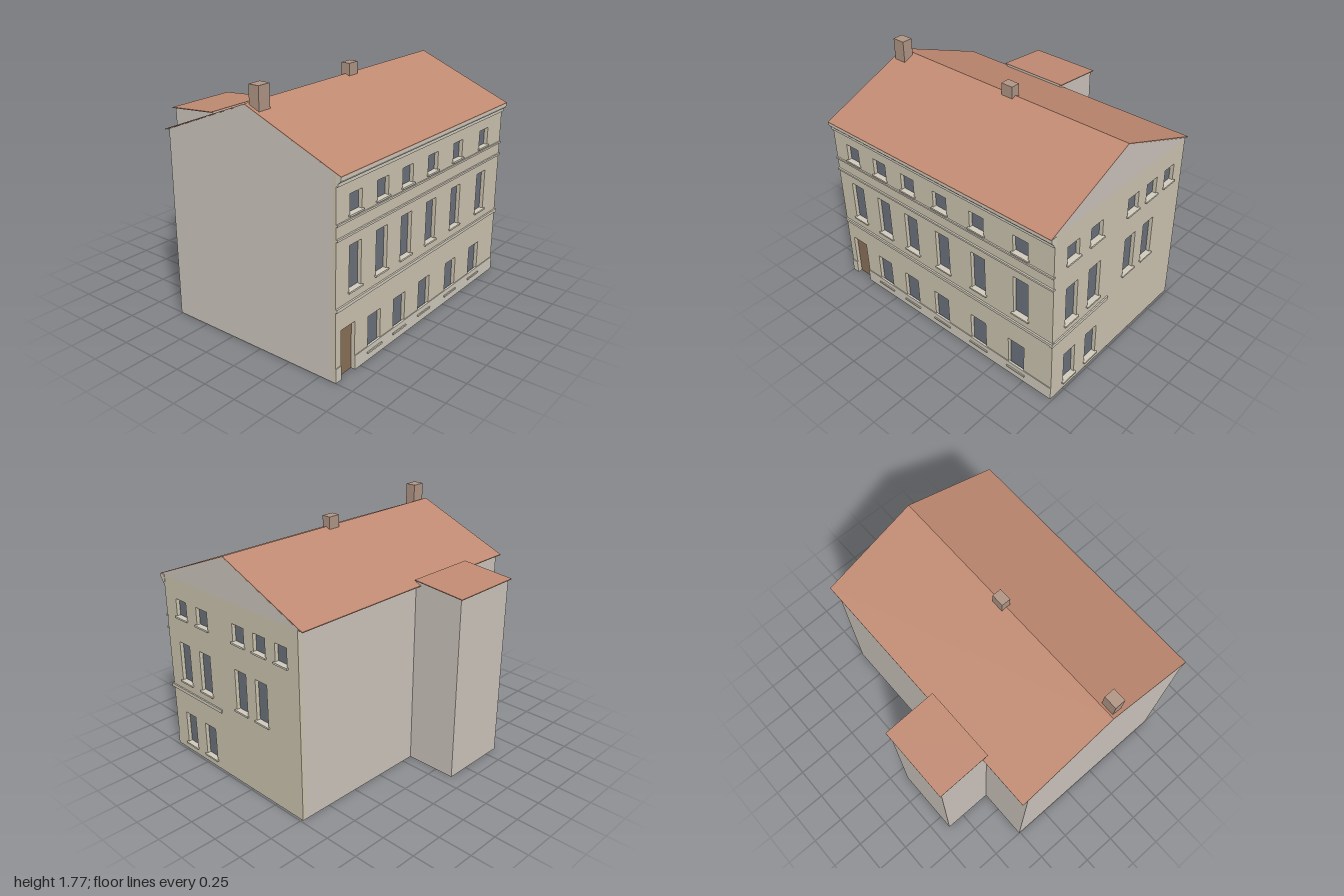
import * as THREE from 'three';

const mat = (color) => new THREE.MeshStandardMaterial({ color, flatShading: true });

export function createModel() {
  const house = new THREE.Group();
  house.name = 'townhouse';
  const wallMat = mat(0xccc4b0), plainMat = mat(0xcbc3bb), trimMat = mat(0xd0cabc);
  const roofMat = mat(0xc08a72), chimneyMat = mat(0xb09585);
  const glassMat = mat(0x6b717b), doorMat = mat(0x8a7058);

  const add = (name, geometry, material) => {
    const mesh = new THREE.Mesh(geometry, material);
    mesh.name = name;
    house.add(mesh);
    return mesh;
  };
  // Box given by its minimum and maximum corners
  const box = (name, x0, x1, y0, y1, z0, z1, material) => {
    const g = new THREE.BoxGeometry(x1 - x0, y1 - y0, z1 - z0);
    g.translate((x0 + x1) / 2, (y0 + y1) / 2, (z0 + z1) / 2);
    return add(name, g, material);
  };
  // Outline with rectangular holes [u0, u1, v0, v1]
  const outline = (points, holes = []) => {
    const shape = new THREE.Shape(points.map(([u, v]) => new THREE.Vector2(u, v)));
    for (const [a, b, c, d] of holes) {
      shape.holes.push(new THREE.Path([[a, c], [a, d], [b, d], [b, c]].map(([u, v]) => new THREE.Vector2(u, v))));
    }
    return shape;
  };
  const extrude = (shape, depth) => new THREE.ExtrudeGeometry(shape, { depth, bevelEnabled: false });
  // Extrude a (z, y) outline along x
  const extrudeX = (name, points, x0, x1, material, holes) => {
    const g = extrude(outline(points, holes), x1 - x0);
    g.rotateY(-Math.PI / 2);
    g.translate(x1, 0, 0);
    return add(name, g, material);
  };

  const L = -1, R = 0.985, F = 0.87, B = -0.51, EAVE = 1.355, IN = 0.03;
  const RIDGE_Z = 0.178, RIDGE_Y = 1.648;

  // Window openings: [start, end] along each wall and [bottom, top]
  const frontUpper = [[-0.87, -0.75], [-0.595, -0.475], [-0.32, -0.2], [-0.02, 0.1], [0.303, 0.423], [0.665, 0.785]];
  const frontGround = [[-0.665, -0.53], [-0.38, -0.245], [-0.075, 0.06], [0.277, 0.415], [0.617, 0.752]];
  const side = [[0.63, 0.745], [0.395, 0.515], [0.01, 0.125], [-0.2, -0.085], [-0.405, -0.295]];
  const floors = [[0.06, 0.313], [0.575, 0.88], [1.075, 1.207]];
  const openings = (spans, [y0, y1]) => spans.map(([a, b]) => [a, b, y0, y1]);
  const frontWindows = [
    ...openings(frontGround, floors[0]), ...openings(frontUpper, floors[1]), ...openings(frontUpper, floors[2]),
  ];
  const sideWindows = [
    ...openings(side.slice(0, 2), floors[0]), ...openings(side.slice(0, 4), floors[1]), ...openings(side, floors[2]),
  ];

  // Core of the building behind the pierced walls
  box('mainBody', L, R - IN, 0, EAVE, B, F - IN, plainMat);

  // Front wall with door notch and windows
  const d0 = -0.945, d1 = -0.805, doorTop = 0.345;
  const frontShape = outline([
    [L, 0], [d0, 0], [d0, doorTop], [d1, doorTop], [d1, 0], [R - IN, 0], [R - IN, EAVE], [L, EAVE],
  ], frontWindows);
  add('frontWall', extrude(frontShape, IN).translate(0, 0, F - IN), wallMat);

  // Right-hand wall with windows
  extrudeX('sideWall', [[B, 0], [F, 0], [F, EAVE], [B, EAVE]], R - IN, R, wallMat, sideWindows);

  // Glass and sills
  const e = 0.003, s = 0.011;
  for (const [a, b, y0, y1] of frontWindows) {
    box('frontGlass', a, b, y0, y1, F - IN - e, F - IN + e, glassMat);
    box('frontSill', a - s, b + s, y0 - 0.008, y0 + 0.004, F - IN, F + 0.014, trimMat);
  }
  for (const [a, b, y0, y1] of sideWindows) {
    box('sideGlass', R - IN - e, R - IN + e, y0, y1, a, b, glassMat);
    box('sideSill', R - IN, 1, y0 - 0.01, y0 + 0.003, a - s, b + s, trimMat);
  }
  box('door', d0, d1, 0, doorTop, F - IN - e, F - IN + e, doorMat);

  // Plinth on both sides of the door
  box('plinth', L, d0, 0, 0.1, F - 0.01, F + 0.006, trimMat);
  box('plinth', d1, R, 0, 0.1, F - 0.01, F + 0.006, trimMat);

  // Horizontal string courses
  for (const [y0, y1, out] of [[0.488, 0.51, 0.012], [0.948, 0.962, 0.012], [1.042, 1.055, 0.01]]) {
    box('stringCourse', L, R + 0.004, y0, y1, F - 0.01, F + out, trimMat);
  }
  box('sideStringCourse', R - 0.01, R + 0.01, 0.482, 0.508, 0.295, F + 0.012, trimMat);

  // Eaves cornice
  extrudeX('cornice', [
    [F - 0.01, 1.288], [F + 0.014, 1.288], [F + 0.014, 1.308], [F + 0.022, 1.312],
    [F + 0.034, 1.33], [F + 0.034, EAVE], [F - 0.01, EAVE],
  ], L, R + 0.003, trimMat);

  // Gabled attic and its thin roof covering
  const t = 0.006;
  extrudeX('gable', [[-0.53, EAVE], [0.89, EAVE], [RIDGE_Z, RIDGE_Y - t]], L, R, plainMat);
  extrudeX('roof', [
    [0.905, EAVE - t], [0.905, EAVE], [RIDGE_Z, RIDGE_Y], [-0.55, EAVE], [-0.55, EAVE - t], [RIDGE_Z, RIDGE_Y - t],
  ], L, R, roofMat);

  // Rear wing with lean-to roof
  extrudeX('rearWing', [[B, 0], [B, 1.385], [-0.89, 1.352], [-0.89, 0]], -0.605, -0.085, plainMat);
  extrudeX('rearWingRoof', [[B, 1.384], [B, 1.39], [-0.907, 1.356], [-0.907, 1.35]], -0.62, -0.07, roofMat);

  // Chimneys
  box('chimney', -0.975, -0.877, 1.58, 1.767, 0.195, 0.275, chimneyMat);
  box('chimney', -0.008, 0.085, 1.6, 1.722, 0.142, 0.21, chimneyMat);

  return house;
}
